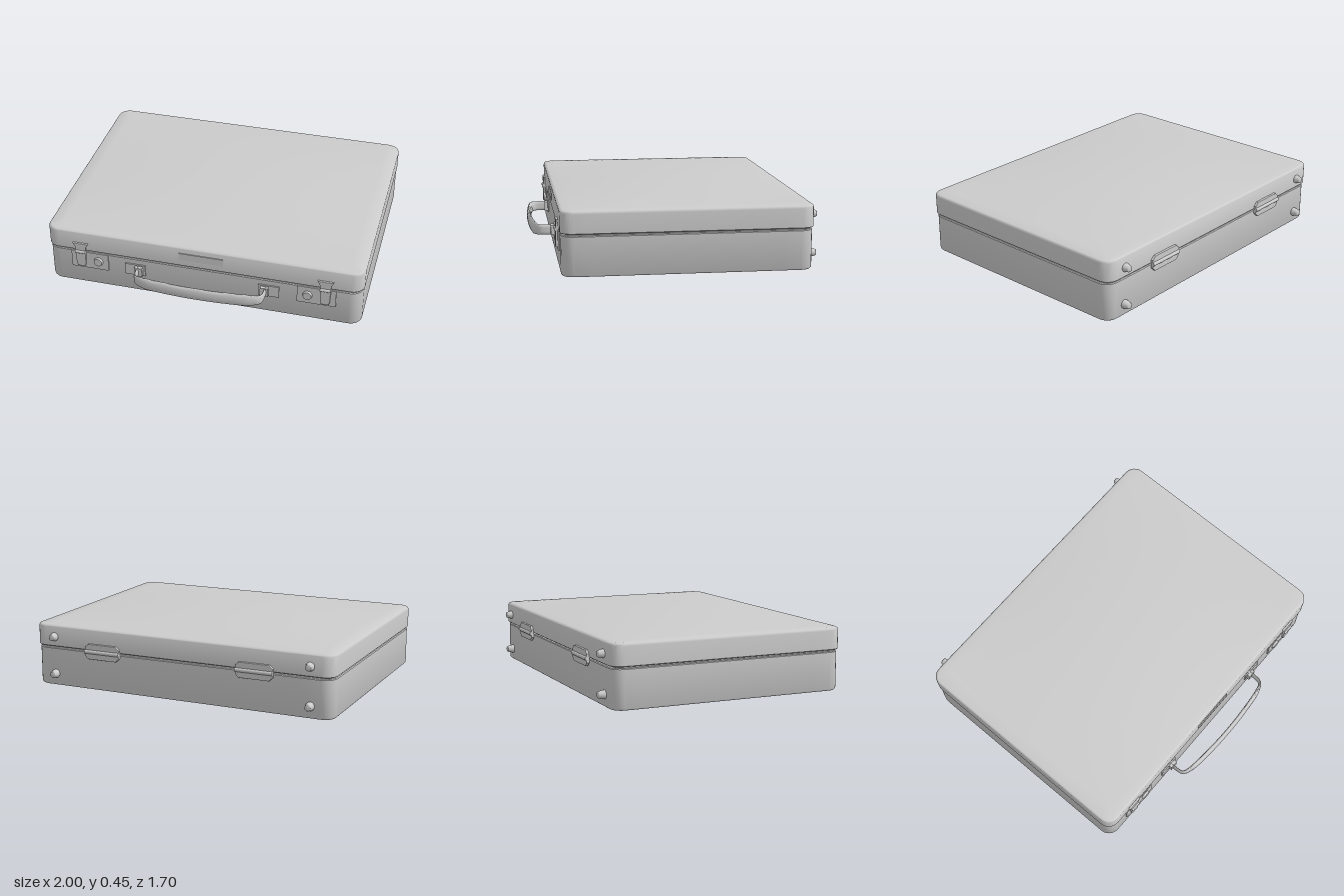
import * as THREE from 'three';
import { toCreasedNormals } from 'three/addons/utils/BufferGeometryUtils.js';

const CZ = -0.06; // depth centre of the case body
const FRONT = 0.69, BACK = -0.81;

export function createModel() {
  const root = new THREE.Group();
  const mat = new THREE.MeshStandardMaterial({ color: 0xcccccc, side: THREE.DoubleSide });

  const add = (name, geo, x = 0, y = 0, z = 0, parent = root) => {
    const m = new THREE.Mesh(geo, mat);
    m.name = name;
    m.position.set(x, y, z);
    parent.add(m);
    return m;
  };

  // Surface through equal-length closed rings of Vector3
  const loft = (rings, flip = false, crease = 0.6) => {
    const n = rings[0].length, pos = [], idx = [];
    rings.forEach(r => r.forEach(p => pos.push(p.x, p.y, p.z)));
    for (let i = 0; i < rings.length - 1; i++) {
      for (let j = 0; j < n; j++) {
        const a = i * n + j, b = i * n + (j + 1) % n, c = a + n, d = b + n;
        if (flip) idx.push(a, b, c, b, d, c);
        else idx.push(a, c, b, b, c, d);
      }
    }
    const g = new THREE.BufferGeometry();
    g.setAttribute('position', new THREE.Float32BufferAttribute(pos, 3));
    g.setIndex(idx);
    return toCreasedNormals(g, crease);
  };

  // Rounded rectangle outline in the xz plane, subdivided on its sides
  const outline = (hx, hz, r) => {
    const pts = [];
    const corners = [[1, 1], [-1, 1], [-1, -1], [1, -1]];
    corners.forEach(([sx, sz], k) => {
      for (let i = 0; i <= 6; i++) {
        const a = (k + i / 6) * Math.PI / 2;
        pts.push([sx * (hx - r) + Math.cos(a) * r, sz * (hz - r) + Math.sin(a) * r]);
      }
      const [nx, nz] = corners[(k + 1) % 4];
      const b = (k + 1) * Math.PI / 2;
      const p = pts[pts.length - 1];
      const q = [nx * (hx - r) + Math.cos(b) * r, nz * (hz - r) + Math.sin(b) * r];
      for (let i = 1; i < 12; i++) {
        pts.push([p[0] + (q[0] - p[0]) * i / 12, p[1] + (q[1] - p[1]) * i / 12]);
      }
    });
    return pts;
  };

  // Half of the case: flat at the seam, softly domed on the outside
  const shell = (hx, hz, ySeam, yEdge, dome) => {
    const dir = Math.sign(yEdge - ySeam), e = 0.018, rings = [];
    const ring = (inset, y) =>
      outline(hx - inset, hz - inset, 0.075 - inset).map(([x, z]) => new THREE.Vector3(x, y, z));
    rings.push(ring(0, ySeam).map(p => new THREE.Vector3(0, ySeam, 0)));
    rings.push(ring(0.005, ySeam), ring(0, ySeam + dir * 0.005));
    for (let i = 0; i <= 4; i++) {
      const a = i / 4 * Math.PI / 2;
      rings.push(ring(e * (1 - Math.cos(a)), yEdge - dir * e * (1 - Math.sin(a))));
    }
    const rim = outline(hx - e, hz - e, 0.075 - e);
    for (let i = 1; i <= 14; i++) {
      const s = 1 - i / 14;
      rings.push(rim.map(([x, z]) => {
        const u = x * s / (hx - e), v = z * s / (hz - e);
        return new THREE.Vector3(x * s, yEdge + dir * dome * (1 - u * u) * (1 - v * v), z * s);
      }));
    }
    return loft(rings, dir < 0);
  };

  add('baseShell', shell(0.995, 0.745, 0.274, 0.03, 0.027), 0, 0, CZ);
  add('lidShell', shell(1, 0.752, 0.283, 0.42, 0.037), 0, 0, CZ);
  add('seamCore', new THREE.BoxGeometry(1.94, 0.03, 1.44), 0, 0.279, CZ);

  const extrude = (pts, depth, bevel = 0.003) => new THREE.ExtrudeGeometry(
    new THREE.Shape(pts.map(p => new THREE.Vector2(...p))),
    { depth, bevelEnabled: bevel > 0, bevelSize: bevel, bevelThickness: bevel, bevelSegments: 2 });

  // Plate below the lid rim
  add('namePlate', new THREE.BoxGeometry(0.28, 0.05, 0.008), 0, 0.355, FRONT + 0.003);

  // Carrying handle: oval section swept along a bowed path
  const path = new THREE.CatmullRomCurve3([
    [-0.405, 0.685], [-0.405, 0.74], [-0.395, 0.785], [-0.34, 0.808], [-0.18, 0.826], [0, 0.832],
    [0.18, 0.826], [0.34, 0.808], [0.395, 0.785], [0.405, 0.74], [0.405, 0.685],
  ].map(([x, z]) => new THREE.Vector3(x, 0, z)));
  const handleRings = [];
  for (let i = 0; i <= 60; i++) {
    const t = i / 60, p = path.getPointAt(t), d = path.getTangentAt(t);
    const grip = THREE.MathUtils.smoothstep(Math.min(t, 1 - t), 0.08, 0.2);
    const h = 0.031 + 0.011 * grip, w = 0.008 + 0.006 * grip;
    handleRings.push(Array.from({ length: 20 }, (_, j) => {
      const a = j / 20 * Math.PI * 2, k = Math.cos(a) * w;
      return new THREE.Vector3(p.x - d.z * k, Math.sin(a) * h, p.z + d.x * k);
    }));
  }
  add('handle', loft(handleRings, false, 1), 0, 0.197, 0);

  for (const s of [-1, 1]) {
    const side = s > 0 ? 'left' : 'right';

    // Handle mounts
    add(side + 'HandlePlate', new THREE.BoxGeometry(0.13, 0.078, 0.008), s * 0.425, 0.197, FRONT);
    add(side + 'HandleMount', new THREE.BoxGeometry(0.05, 0.06, 0.03), s * 0.4, 0.197, FRONT + 0.01);

    // Lock plate, thumb button and hooked latch
    const lock = new THREE.Group();
    lock.name = side + 'Lock';
    root.add(lock);
    add('lockPlate', new THREE.BoxGeometry(0.24, 0.118, 0.008), s * 0.72, 0.215, FRONT, lock);
    const button = add('lockButton', new THREE.CylinderGeometry(0.026, 0.032, 0.02, 24),
      s * 0.665, 0.215, FRONT + 0.008, lock);
    button.rotation.x = Math.PI / 2;
    add('latchLever', extrude([
      [-0.022, 0.175], [0.022, 0.175], [0.027, 0.195], [0.03, 0.27],
      [0.03, 0.285], [-0.03, 0.285], [-0.03, 0.27], [-0.027, 0.195],
    ], 0.011), s * 0.775, 0, FRONT + 0.003, lock);
    add('latchCatch', extrude([
      [-0.03, 0.28], [0.03, 0.28], [0.033, 0.315], [0.046, 0.34], [0.03, 0.338],
      [-0.03, 0.338], [-0.046, 0.34], [-0.033, 0.315],
    ], 0.008), s * 0.775, 0, FRONT + 0.005, lock);
    const pin = add('latchPin', new THREE.CylinderGeometry(0.011, 0.011, 0.066, 16),
      s * 0.775, 0.28, FRONT + 0.015, lock);
    pin.rotation.z = Math.PI / 2;

    // Back hinge with clipped corners and a barrel on the seam
    const hinge = new THREE.Group();
    hinge.name = side + 'Hinge';
    root.add(hinge);
    for (const v of [-1, 1]) {
      add('hingeLeaf', extrude([
        [-0.117, 0], [0.117, 0], [0.117, v * 0.025], [0.095, v * 0.045],
        [-0.095, v * 0.045], [-0.117, v * 0.025],
      ], 0.012), s * 0.51, 0.279, BACK - 0.014, hinge);
    }
    const barrel = add('hingeBarrel', new THREE.CylinderGeometry(0.013, 0.013, 0.24, 16),
      s * 0.51, 0.279, BACK - 0.014, hinge);
    barrel.rotation.z = Math.PI / 2;

    // Tapered standing feet on the back
    for (const y of [0.107, 0.345]) {
      const foot = add(side + 'Foot', new THREE.LatheGeometry([
        [0.027, -0.01], [0.027, 0.004], [0.02, 0.034], [0.017, 0.039], [0, 0.04],
      ].map(p => new THREE.Vector2(...p)), 24), s * 0.857, y, BACK);
      foot.rotation.x = -Math.PI / 2;
    }
  }
  return root;
}
